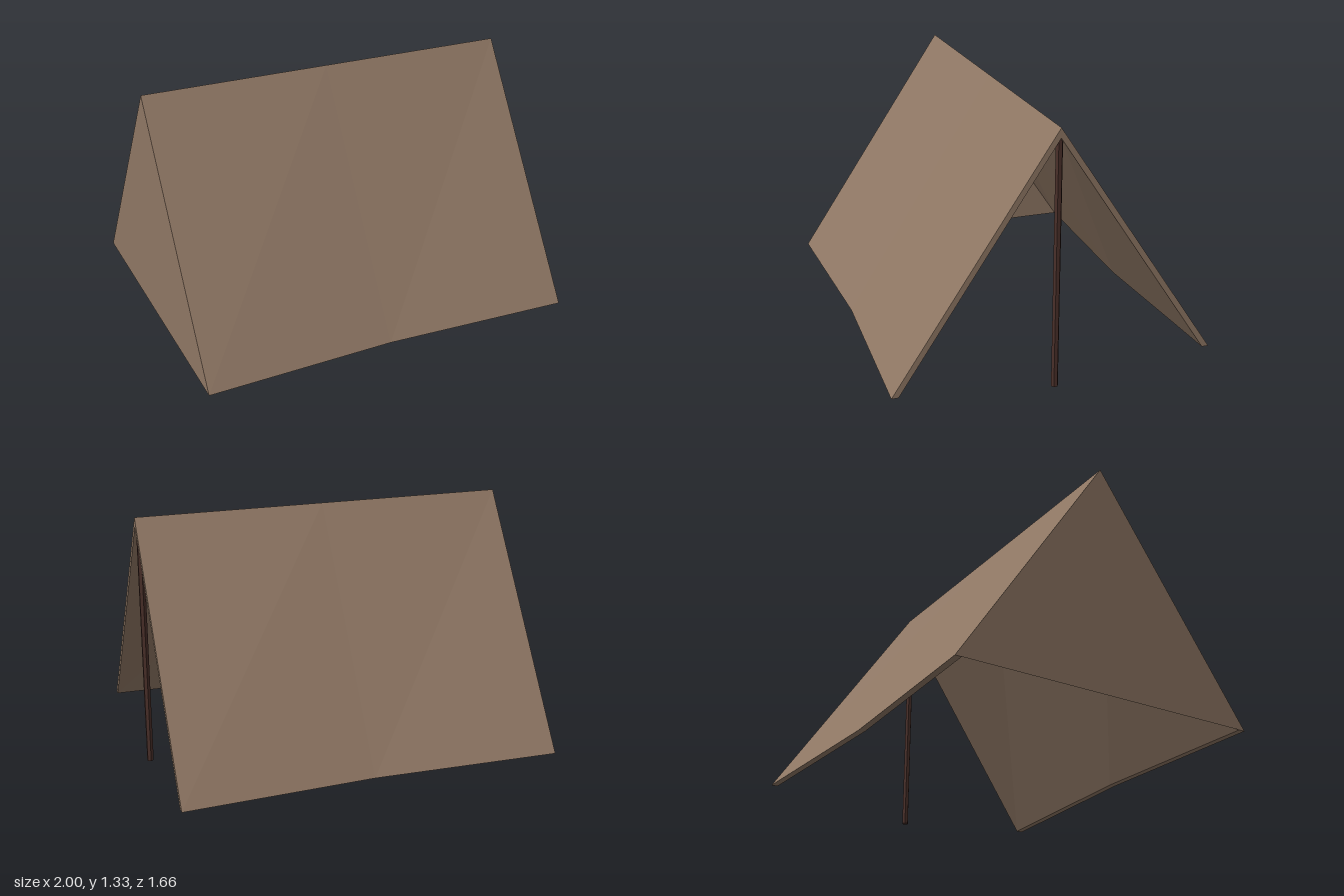
import * as THREE from 'three';

const canvas = new THREE.MeshStandardMaterial({ color: 0x8f7764 });
canvas.name = 'canvas';
canvas.side = THREE.DoubleSide;
const wood = new THREE.MeshStandardMaterial({ color: 0x4a302a });
wood.name = 'dark wood';

const HEM = 0.09, RIDGE = 1.33, INNER_RIDGE = 1.28, THICK = 0.035;

// Cross-section of the folded sheet: outer front hem, ridge, back hem, then back along the inside
function section(x, half) {
  const inner = half - THICK;
  return [
    [x, HEM, half], [x, RIDGE, 0], [x, HEM, -half],
    [x, HEM, -inner], [x, INNER_RIDGE, 0], [x, HEM, inner],
  ];
}

function flatGeometry(triangles) {
  const g = new THREE.BufferGeometry();
  g.setAttribute('position', new THREE.Float32BufferAttribute(triangles.flat(), 3));
  g.computeVertexNormals();
  return g;
}

export function createModel() {
  const group = new THREE.Group();
  group.name = 'tent';
  const add = (geometry, material, name) => {
    const mesh = new THREE.Mesh(geometry, material);
    mesh.name = name;
    group.add(mesh);
    return mesh;
  };

  // Two roof slopes, pinched in slightly at mid length
  const rings = [section(-1, 0.83), section(0, 0.79), section(1, 0.83)];
  const tris = [];
  const quad = (a, b, c, d) => tris.push(a, b, c, a, c, d);
  for (let s = 0; s < 2; s++) {
    for (let i = 0; i < 6; i++) {
      const j = (i + 1) % 6;
      quad(rings[s][i], rings[s + 1][i], rings[s + 1][j], rings[s][j]);
    }
  }
  // Edge of the sheet around the open end
  const r = rings[2];
  quad(r[0], r[5], r[4], r[1]);
  quad(r[1], r[4], r[3], r[2]);
  add(flatGeometry(tris), canvas, 'roof');

  // Thin wall closing the far end
  const e = rings[0];
  add(flatGeometry([e[0], e[1], e[2]]), canvas, 'endWall');

  // Six-sided pole under the ridge at the open end
  const poleGeometry = new THREE.CylinderGeometry(0.018, 0.018, 1.27, 6).toNonIndexed();
  poleGeometry.computeVertexNormals();
  add(poleGeometry, wood, 'pole').position.set(0.977, 0.635, 0);

  return group;
}
